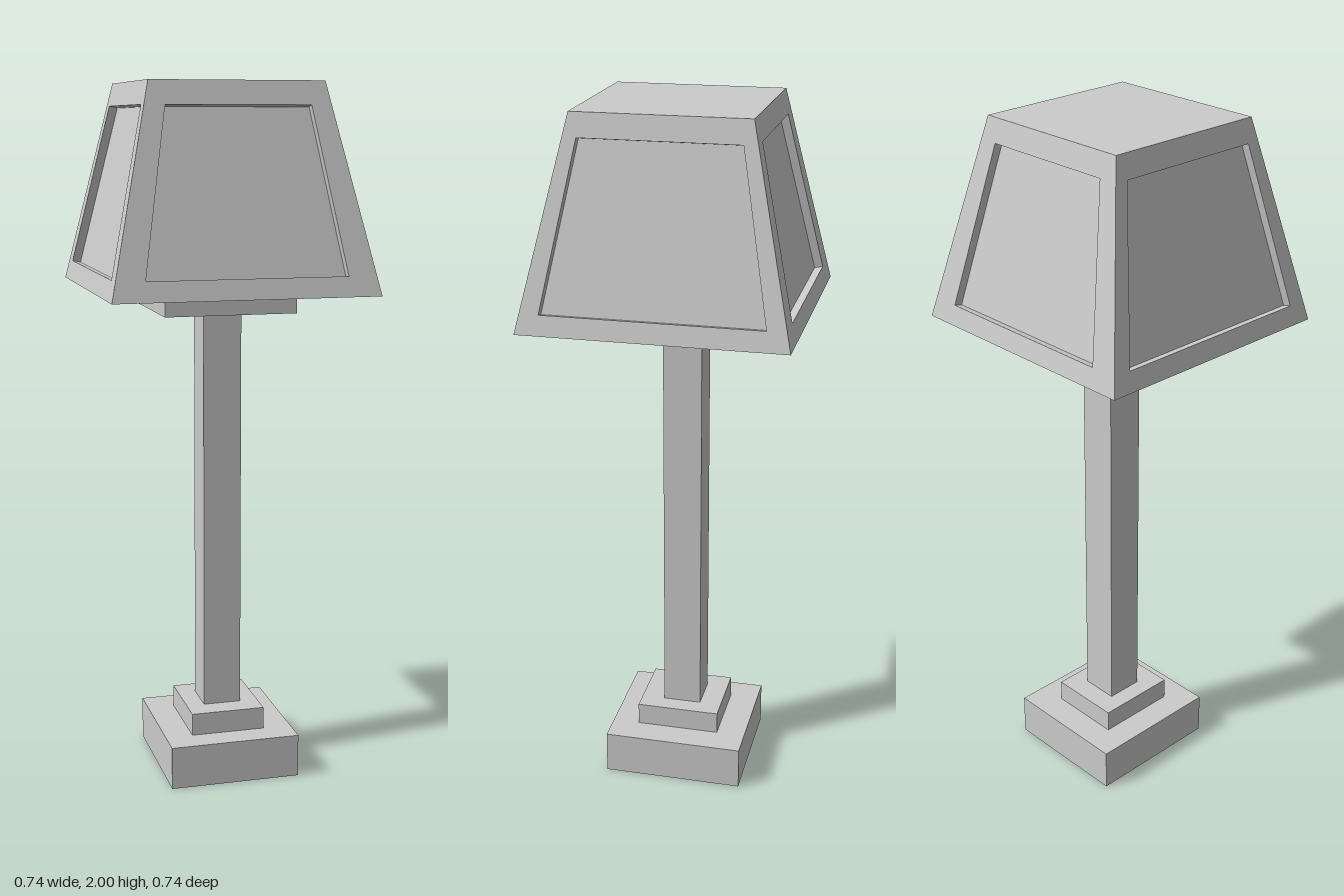
import * as THREE from 'three';

const material = new THREE.MeshStandardMaterial({ color: 0xcccccc, flatShading: true });

// Box given by its extents on each axis
function addBox(group, name, [x0, x1], [y0, y1], [z0, z1]) {
  const mesh = new THREE.Mesh(new THREE.BoxGeometry(x1 - x0, y1 - y0, z1 - z0), material);
  mesh.position.set((x0 + x1) / 2, (y0 + y1) / 2, (z0 + z1) / 2);
  mesh.name = name;
  group.add(mesh);
}

// Flat-shaded geometry from four-cornered faces (counter-clockwise)
function quadGeometry(quads) {
  const points = quads.flatMap(([a, b, c, d]) => [a, b, c, a, c, d]);
  const geometry = new THREE.BufferGeometry().setFromPoints(points);
  geometry.computeVertexNormals();
  return geometry;
}

// Tapered shade dimensions
const BOTTOM = 1.433, TOP = 2, HALF_BOTTOM = 0.369, HALF_TOP = 0.242;
const SLOPE = (HALF_BOTTOM - HALF_TOP) / (TOP - BOTTOM);
const halfAt = (y) => HALF_BOTTOM - SLOPE * (y - BOTTOM);

// Trapezoid lying on the front slope of the shade
function slopeRing(y0, half0, y1, half1) {
  return [[-half0, y0], [half0, y0], [half1, y1], [-half1, y1]]
    .map(([x, y]) => new THREE.Vector3(x, y, halfAt(y)));
}

// One shade side: sloping frame around a recessed panel
function shadeSide(openBottom, openTop) {
  const inward = new THREE.Vector3(0, -SLOPE, -1).setLength(0.024);
  const outer = slopeRing(BOTTOM, HALF_BOTTOM, TOP, HALF_TOP);
  const opening = slopeRing(1.488, openBottom, 1.936, openTop);
  const recess = opening.map((p) => p.clone().add(inward));
  const rings = [outer, opening, recess];
  const quads = [];
  for (let r = 0; r < 2; r++) {
    for (let i = 0; i < 4; i++) {
      const j = (i + 1) % 4;
      quads.push([rings[r][i], rings[r][j], rings[r + 1][j], rings[r + 1][i]]);
    }
  }
  return { frame: quadGeometry(quads), panel: quadGeometry([recess]) };
}

export function createModel() {
  const lamp = new THREE.Group();
  lamp.name = 'floorLamp';

  // Stand, slightly off the shade's axis
  addBox(lamp, 'base', [-0.175, 0.206], [0, 0.125], [-0.222, 0.185]);
  addBox(lamp, 'baseStep', [-0.095, 0.122], [0.125, 0.19], [-0.138, 0.106]);
  addBox(lamp, 'pole', [-0.042, 0.069], [0.19, 1.372], [-0.074, 0.037]);
  addBox(lamp, 'collar', [-0.189, 0.186], [1.372, BOTTOM], [-0.186, 0.189]);

  // Shade: four sides, the left and right panels a little wider
  const shade = new THREE.Group();
  shade.name = 'shade';
  ['front', 'left', 'back', 'right'].forEach((name, i) => {
    const { frame, panel } = i % 2 ? shadeSide(0.303, 0.218) : shadeSide(0.277, 0.2);
    const side = new THREE.Group();
    side.name = name + 'Side';
    const frameMesh = new THREE.Mesh(frame, material);
    frameMesh.name = name + 'Frame';
    const panelMesh = new THREE.Mesh(panel, material);
    panelMesh.name = name + 'Panel';
    side.add(frameMesh, panelMesh);
    side.rotation.y = i * Math.PI / 2;
    shade.add(side);
  });

  // Closed top and underside of the shade
  for (const [name, half, y, turn] of [
    ['shadeTop', HALF_TOP, TOP, -Math.PI / 2],
    ['shadeUnderside', HALF_BOTTOM, BOTTOM, Math.PI / 2],
  ]) {
    const cap = new THREE.Mesh(new THREE.PlaneGeometry(2 * half, 2 * half), material);
    cap.rotation.x = turn;
    cap.position.y = y;
    cap.name = name;
    shade.add(cap);
  }
  lamp.add(shade);
  return lamp;
}
